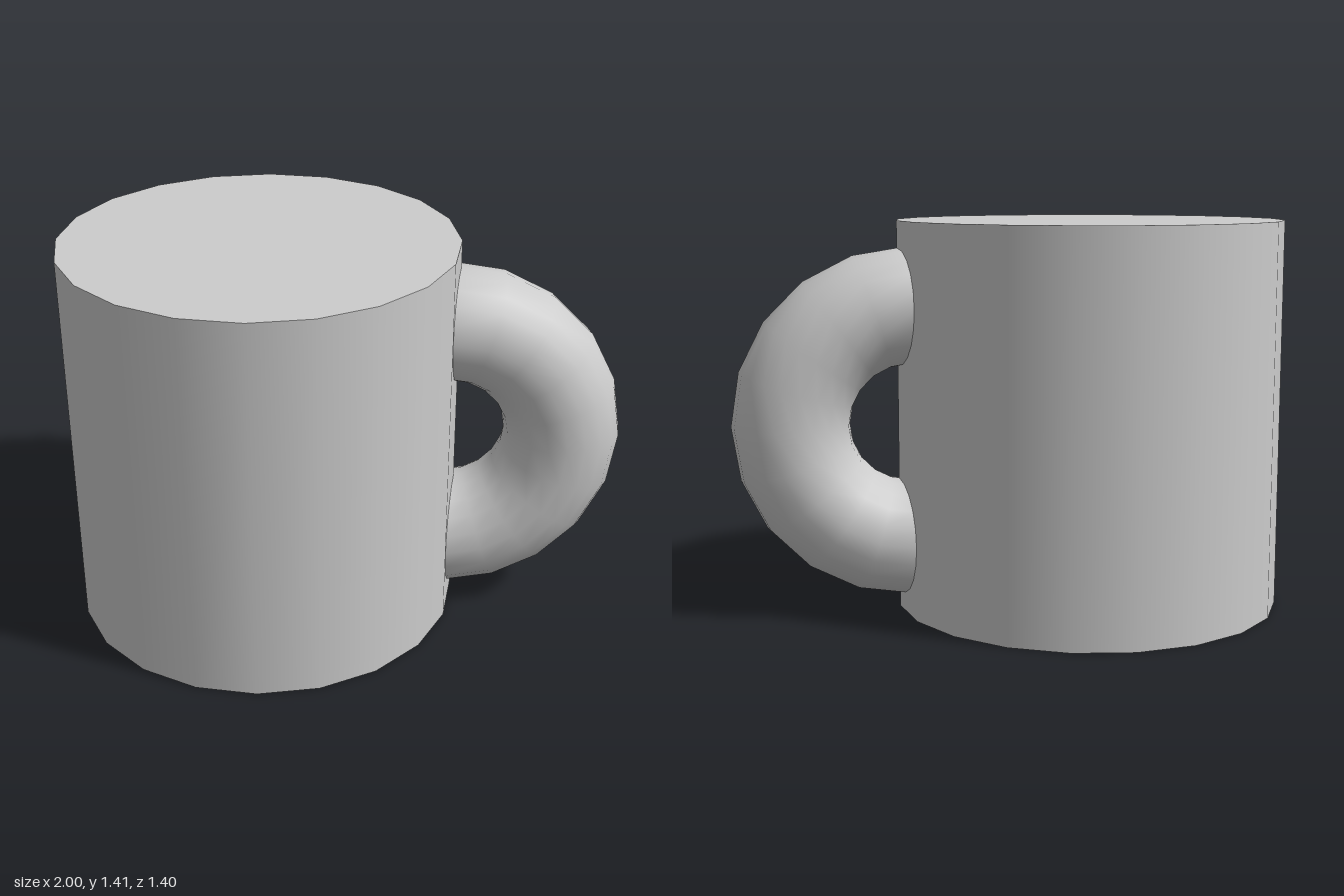
import * as THREE from 'three';

export function createModel() {
  const group = new THREE.Group();
  group.name = 'mug';
  const material = new THREE.MeshStandardMaterial({ color: 0xcccccc });
  const radius = 0.702;
  const height = 1.408;

  // Solid, capped body with 20 sides
  const body = new THREE.Mesh(new THREE.CylinderGeometry(radius, radius, height, 20), material);
  body.name = 'body';
  body.position.set(radius - 1, height / 2, 0);
  group.add(body);

  // Ring handle; its open ends sink one 18 degree step into the body
  const step = Math.PI / 10;
  const handleGeometry = new THREE.TorusGeometry(radius * 0.6, radius * 0.3, 20, 12, step * 12);
  handleGeometry.rotateZ(-step * 6);
  const handle = new THREE.Mesh(handleGeometry, material);
  handle.name = 'handle';
  handle.position.set(1 - radius * 0.9, 0.685, 0);
  group.add(handle);

  return group;
}
